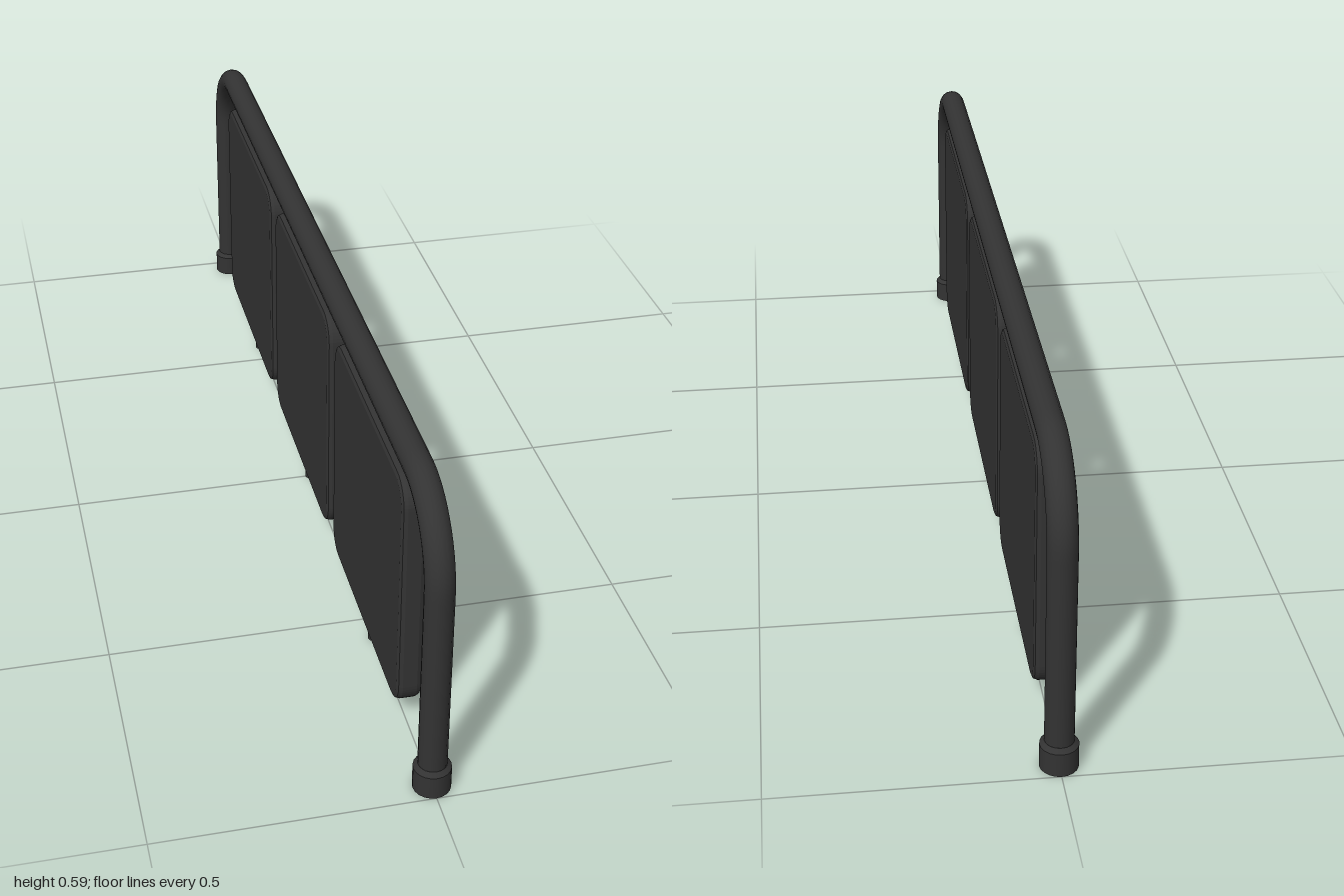
import * as THREE from 'three';

const material = new THREE.MeshStandardMaterial({ color: 0x333333 });

function add(parent, name, geometry, z = 0) {
  const mesh = new THREE.Mesh(geometry, material);
  mesh.name = name;
  mesh.position.z = z;
  parent.add(mesh);
  return mesh;
}

// Turned part with hard edges: each profile segment gets its own points
function turned(profile, sides) {
  const points = profile.map(([r, y]) => new THREE.Vector2(r, y));
  const g = new THREE.LatheGeometry(points, sides);
  return g;
}

// Bent pipe: two legs joined by a rail with rounded corners
function pipeGeometry(halfSpan, top, bend, radius) {
  const v = (y, z) => new THREE.Vector3(0, y, z);
  const path = new THREE.CurvePath();
  const points = [v(0.01, halfSpan)];
  const steps = 12;
  for (const side of [1, -1]) {
    for (let i = 0; i <= steps; i++) {
      const t = side > 0 ? i / steps : 1 - i / steps;
      const a = t * Math.PI / 2;
      points.push(v(top - bend + bend * Math.sin(a), side * (halfSpan - bend + bend * Math.cos(a))));
    }
  }
  points.push(v(0.01, -halfSpan));
  for (let i = 1; i < points.length; i++) path.add(new THREE.LineCurve3(points[i - 1], points[i]));
  return new THREE.TubeGeometry(path, 160, radius, 16, false);
}

// Rounded square board with bevelled rims, facing +x and -x
function panelGeometry(width, height, thickness, corner, bevel) {
  const w = width / 2 - bevel, h = height / 2 - bevel, r = corner - bevel;
  const s = new THREE.Shape();
  s.absarc(w - r, h - r, r, 0, Math.PI / 2);
  s.absarc(-w + r, h - r, r, Math.PI / 2, Math.PI);
  s.absarc(-w + r, -h + r, r, Math.PI, Math.PI * 1.5);
  s.absarc(w - r, -h + r, r, Math.PI * 1.5, Math.PI * 2);
  const depth = thickness - 2 * bevel;
  const g = new THREE.ExtrudeGeometry(s, {
    depth, bevelEnabled: true, bevelSize: bevel, bevelThickness: bevel, bevelSegments: 2, curveSegments: 6,
  });
  g.translate(0, 0, -depth / 2);
  g.rotateY(Math.PI / 2);
  return g;
}

export function createModel() {
  const model = new THREE.Group();
  model.name = 'panelBarrier';

  add(model, 'pipeFrame', pipeGeometry(0.966, 0.567, 0.15, 0.026));

  // Sleeves at the foot of each leg
  const sleeve = turned([[0, 0], [0.034, 0], [0.034, 0], [0.034, 0.045], [0.034, 0.045], [0.026, 0.053], [0.026, 0.053], [0, 0.053]], 20);
  for (const side of [1, -1]) add(model, side > 0 ? 'frontFoot' : 'backFoot', sleeve, side * 0.966);

  // Three hanging boards, each with a top pin and a bottom peg
  const board = panelGeometry(0.512, 0.484, 0.046, 0.052, 0.01);
  const pin = new THREE.CylinderGeometry(0.008, 0.008, 0.05, 12);
  const peg = turned([[0, 0], [0.012, 0], [0.012, 0], [0.012, 0.02], [0.012, 0.02], [0.008, 0.026], [0.008, 0.026], [0.008, 0.05]], 12);
  for (const z of [0.558, 0, -0.558]) {
    const unit = new THREE.Group();
    unit.name = 'panelUnit';
    unit.position.z = z;
    add(unit, 'panel', board).position.y = 0.282;
    add(unit, 'topPin', pin).position.y = 0.54;
    add(unit, 'bottomPeg', peg);
    model.add(unit);
  }
  return model;
}
